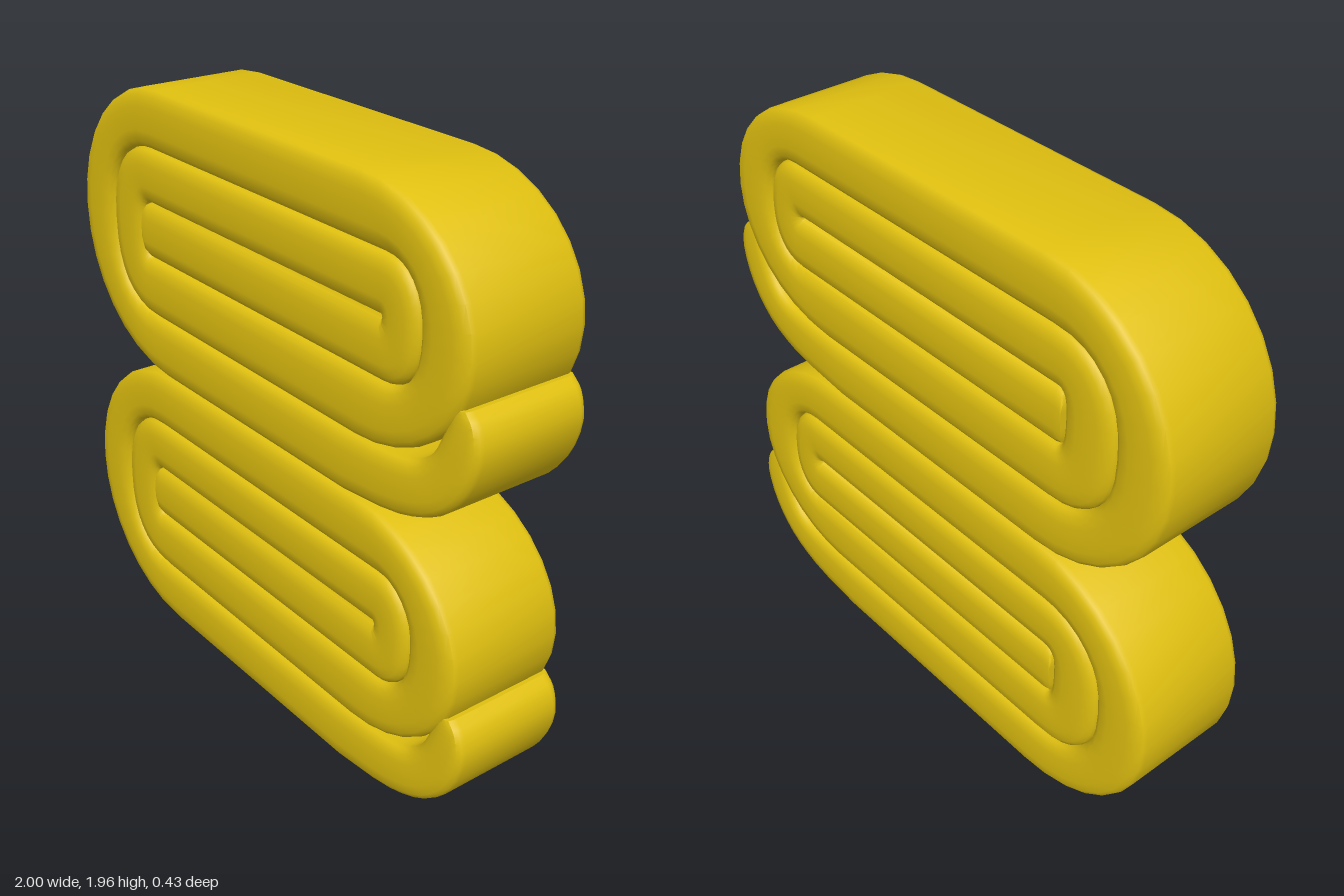
import * as THREE from 'three';
import { toCreasedNormals } from 'three/addons/utils/BufferGeometryUtils.js';

// Half cross-section of the strip: [fraction from outer to inner edge, half width]
const PROFILE = [[0, 0.185], [0.03, 0.2], [0.12, 0.212], [0.3, 0.217], [0.7, 0.217], [0.88, 0.212], [0.97, 0.2], [1, 0.185]];

// Point on a slightly squared ellipse [cx, cy, rx, ry, power]
function bend([cx, cy, rx, ry, n = 2], a) {
  const c = Math.cos(a), s = Math.sin(a);
  return [
    cx + rx * Math.sign(c) * Math.abs(c) ** (2 / n),
    cy + ry * Math.sign(s) * Math.abs(s) ** (2 / n),
  ];
}

// Stations along the spiral: outer edge point, inner edge point, width scale
function spiralStations() {
  const stations = [];
  const add = (outer, inner, w = 1) => stations.push({ outer, inner, w });

  // loose tail, smoothed through a few points
  const v = (x, y) => new THREE.Vector3(x, y, 0);
  const tailOuter = new THREE.CatmullRomCurve3([v(0.945, 0.445), v(0.982, 0.41), v(1, 0.33), v(0.955, 0.2), v(0.855, 0.095), v(0.7, 0.03), v(0.45, 0)]);
  const tailInner = new THREE.CatmullRomCurve3([v(0.9, 0.445), v(0.88, 0.41), v(0.86, 0.36), v(0.82, 0.28), v(0.76, 0.23), v(0.65, 0.21), v(0.45, 0.2)]);
  const steps = 18;
  for (let i = 0; i <= steps; i++) {
    const o = tailOuter.getPoint(i / steps), n = tailInner.getPoint(i / steps);
    add([o.x, o.y], [n.x, n.y], 0.92 + 0.08 * i / steps);
  }

  // alternating left and right turns, each nested inside the last
  const loops = [
    [-0.5, 0.49, 0.5, 0.49],
    [0.5, 0.59, 0.465, 0.39],
    [-0.55, 0.493, 0.25, 0.287, 2.4],
    [0.62, 0.595, 0.145, 0.185, 2.3],
    [-0.57, 0.503, 0.035, 0.095, 3],
    [0.6, 0.597, 0.004, 0.004],
  ];
  for (let k = 0; k < 4; k++) {
    const start = k % 2 ? Math.PI / 2 : Math.PI * 1.5;
    for (let i = 0; i <= 16; i++) {
      const a = start - Math.PI * i / 16;
      add(bend(loops[k], a), bend(loops[k + 2], a));
    }
  }

  // inner end
  add([-0.575, 0.41], [-0.575, 0.597]);
  add([-0.597, 0.417], [-0.597, 0.59]);
  add([-0.605, 0.44], [-0.605, 0.57]);
  return stations;
}

// Sweep the rounded cross-section through the stations
function stripGeometry() {
  const stations = spiralStations();
  const ring = [...PROFILE, ...PROFILE.map(([u, z]) => [u, -z]).reverse()];
  const m = ring.length, pos = [], idx = [];
  for (const { outer, inner, w } of stations) {
    for (const [u, z] of ring) {
      pos.push(outer[0] + (inner[0] - outer[0]) * u, outer[1] + (inner[1] - outer[1]) * u, z * w);
    }
  }
  for (let s = 0; s < stations.length - 1; s++) {
    for (let j = 0; j < m; j++) {
      const a = s * m + j, b = s * m + (j + 1) % m;
      idx.push(a, b, b + m, a, b + m, a + m);
    }
  }
  const last = (stations.length - 1) * m;
  for (let j = 1; j < m - 1; j++) {
    idx.push(0, j + 1, j, last, last + j, last + j + 1);
  }
  const g = new THREE.BufferGeometry();
  g.setAttribute('position', new THREE.Float32BufferAttribute(pos, 3));
  g.setIndex(idx);
  return toCreasedNormals(g, Math.PI / 5);
}

export function createModel() {
  const group = new THREE.Group();
  group.name = 'stackedRolls';
  const material = new THREE.MeshStandardMaterial({ color: 0xe0c010 });
  const geometry = stripGeometry();
  // two identical flattened rolls, one on top of the other
  ['lowerRoll', 'upperRoll'].forEach((name, i) => {
    const roll = new THREE.Mesh(geometry, material);
    roll.name = name;
    roll.position.y = i * 0.98;
    group.add(roll);
  });
  return group;
}
